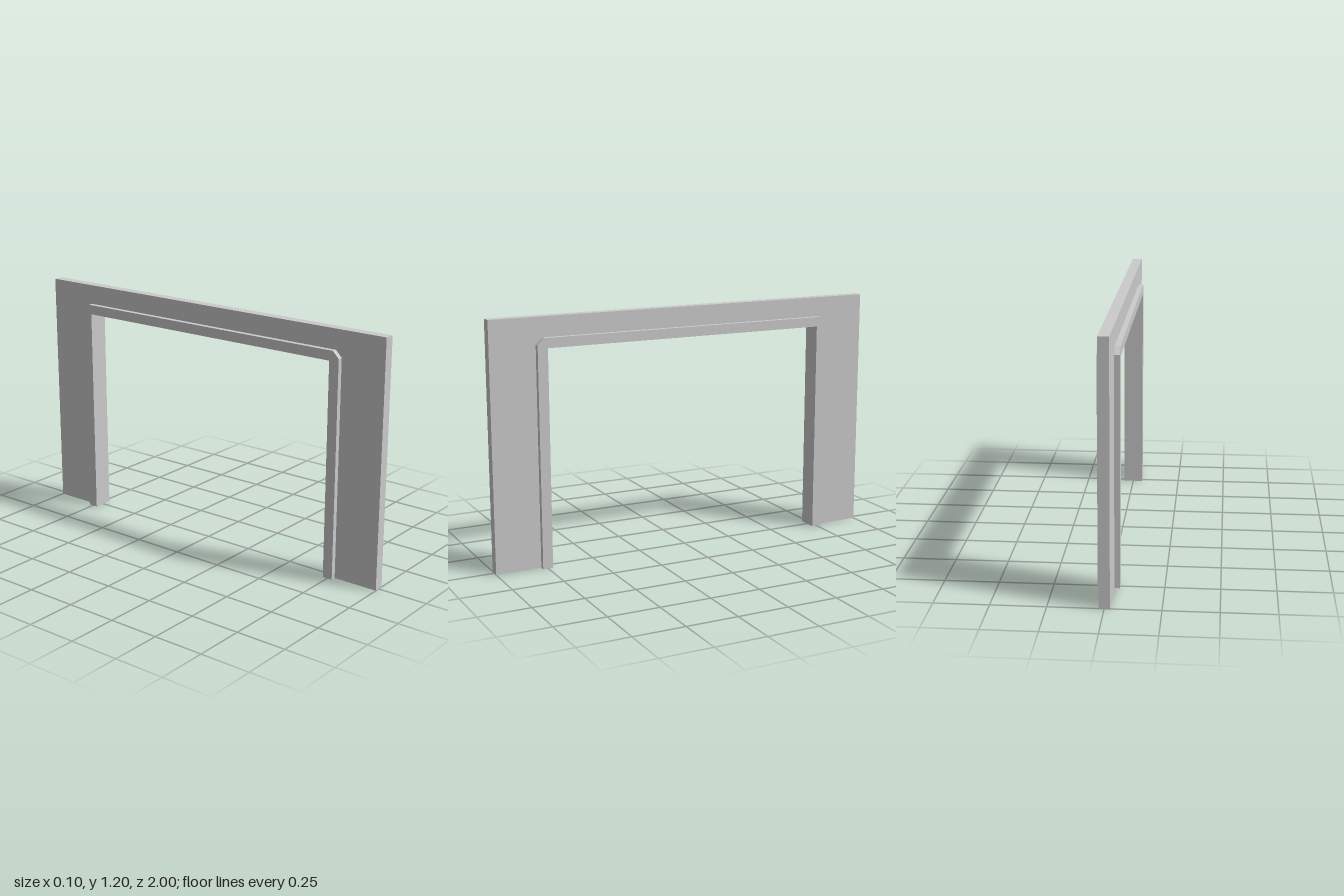
import * as THREE from 'three';

const WALL = 0.025, TRIM = 0.05; // half thicknesses

// Outlines in (z, y), running from the back foot over the top to the front foot
const arch = (z, y, c = 0) => c
  ? [[-z, 0], [-z, y - c], [-z + c, y], [z - c, y], [z, y - c], [z, 0]]
  : [[-z, 0], [-z, y], [z, y], [z, 0]];
const outer = arch(1, 1.2);
const trimEdge = arch(0.775, 1.103, 0.032);
const opening = arch(0.725, 1.055);

const material = new THREE.MeshStandardMaterial({
  color: 0xcccccc, flatShading: true, side: THREE.DoubleSide,
});

function add(group, name, geometry) {
  const mesh = new THREE.Mesh(geometry, material);
  mesh.name = name;
  group.add(mesh);
}

// Flat face between two outlines, on one side of the wall
function face(outside, inside, x) {
  const points = [...outside, ...[...inside].reverse()].map(p => new THREE.Vector2(...p));
  return new THREE.ShapeGeometry(new THREE.Shape(points))
    .rotateY(Math.sign(x) * Math.PI / 2)
    .translate(x, 0, 0);
}

// Band following an outline, spanning from x = x0 to x = x1
function band(path, x0, x1) {
  const pos = [];
  for (let i = 0; i < path.length - 1; i++) {
    const [z0, y0] = path[i], [z1, y1] = path[i + 1];
    const a = [x0, y0, z0], b = [x0, y1, z1], c = [x1, y1, z1], d = [x1, y0, z0];
    pos.push(...a, ...b, ...c, ...a, ...c, ...d);
  }
  const geometry = new THREE.BufferGeometry();
  geometry.setAttribute('position', new THREE.Float32BufferAttribute(pos, 3));
  geometry.computeVertexNormals();
  return geometry;
}

export function createModel() {
  const model = new THREE.Group();
  model.name = 'doorwayWall';

  // Shell is hollow and open at the feet
  add(model, 'wallEdge', band(outer, -WALL, WALL));
  add(model, 'openingLining', band(opening, TRIM, -TRIM));

  for (const [side, s] of [['left', 1], ['right', -1]]) {
    add(model, side + 'WallFace', face(outer, trimEdge, s * WALL));
    add(model, side + 'TrimFace', face(trimEdge, opening, s * TRIM));
    add(model, side + 'TrimEdge',
      s > 0 ? band(trimEdge, WALL, TRIM) : band(trimEdge, -TRIM, -WALL));
  }
  return model;
}
